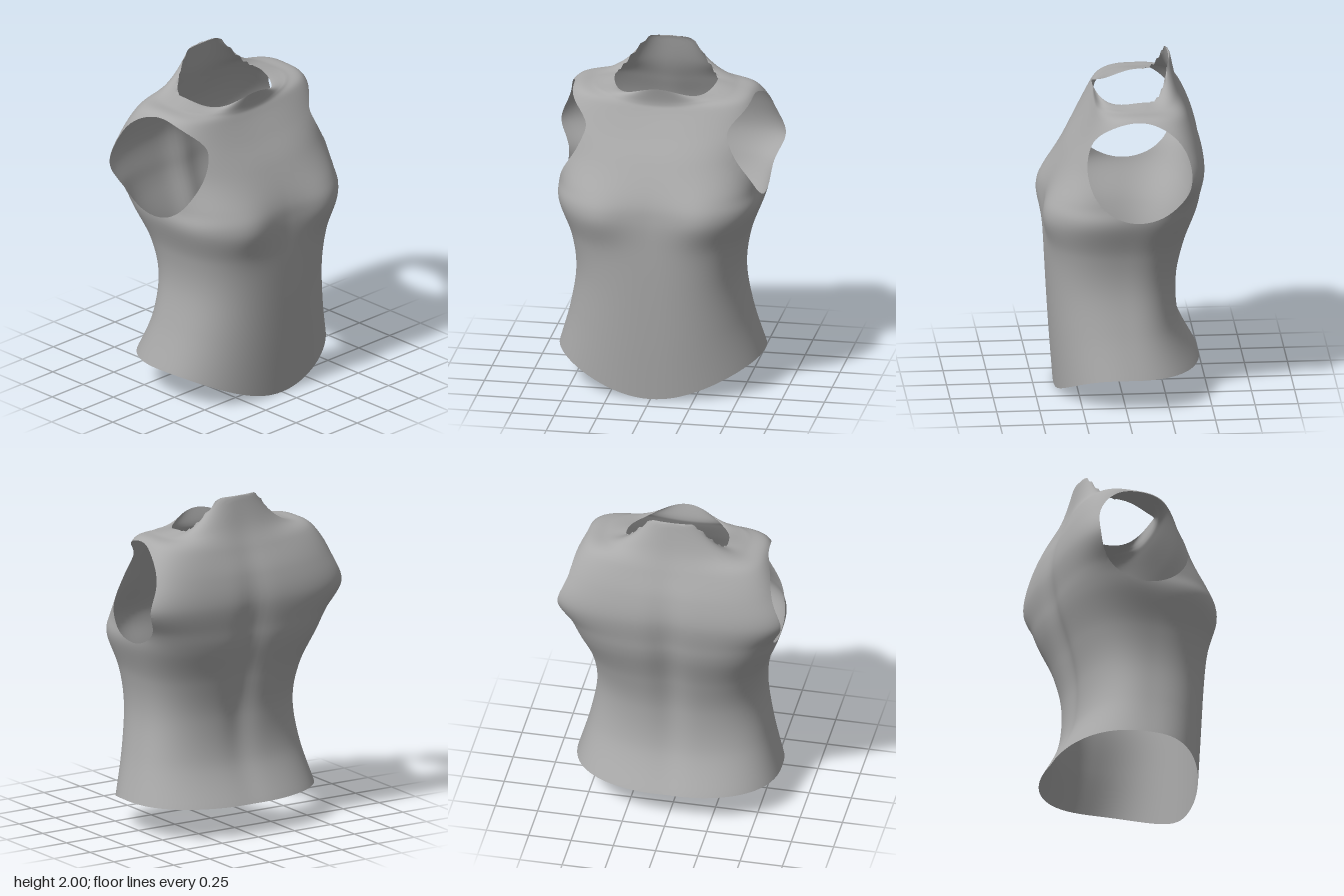
import * as THREE from 'three';
import { mergeVertices } from 'three/addons/utils/BufferGeometryUtils.js';

// Key rings from hem to neck:
// half width, back flare, side y, side z, front y, front z, back y, back z, squareness
const RINGS = [
  [0.60, 0.00, 0.20, -0.04, 0.00, 0.38, 0.19, -0.46, 2.4],
  [0.53, 0.00, 0.45, -0.02, 0.33, 0.405, 0.42, -0.345, 2.5],
  [0.49, 0.00, 0.70, 0.00, 0.67, 0.425, 0.68, -0.325, 2.6],
  [0.515, 0.00, 0.92, 0.00, 0.92, 0.435, 0.92, -0.37, 2.8],
  [0.59, 0.00, 1.13, -0.03, 1.11, 0.435, 1.13, -0.435, 3.2],
  [0.605, 0.05, 1.25, -0.06, 1.24, 0.41, 1.25, -0.457, 3.4],
  [0.65, 0.15, 1.42, -0.08, 1.42, 0.32, 1.41, -0.475, 3.5],
  [0.61, 0.07, 1.60, -0.10, 1.57, 0.225, 1.56, -0.447, 3.7],
  [0.53, 0.01, 1.757, -0.12, 1.69, 0.155, 1.70, -0.39, 3.5],
  [0.41, 0.00, 1.78, -0.13, 1.74, 0.14, 1.84, -0.335, 2.8],
  [0.30, 0.00, 1.80, -0.14, 1.83, 0.157, 2.06, -0.285, 2.1],
];
const COLS = 112, ROWS = 90;
const ARM = { y: 1.457, z: -0.077, r: 0.297 };

// Smooth interpolation of every ring parameter
function ringAt(t) {
  const f = t * (RINGS.length - 1);
  const i = Math.min(Math.floor(f), RINGS.length - 2), u = f - i;
  const at = (n) => RINGS[Math.max(0, Math.min(RINGS.length - 1, n))];
  return RINGS[i].map((b, k) => {
    const a = at(i - 1)[k], c = at(i + 1)[k], d = at(i + 2)[k];
    return b + 0.5 * u * (c - a + u * (2 * a - 5 * b + 4 * c - d + u * (3 * (b - c) + d - a)));
  });
}

const bell = (v, centre, width) => Math.exp(-(((v - centre) / width) ** 2));

function surfacePoint(t, angle) {
  const [w, flare, ys, zs, yf, zf, yb, zb, n] = ringAt(t);
  const c = Math.cos(angle), s = Math.sin(angle);
  const k = (Math.abs(c) ** n + Math.abs(s) ** n) ** (-1 / n);
  const front = s > 0;
  const x = c * k * (w - flare * s);
  let z = zs + Math.abs(s) * k * ((front ? zf : zb) - zs);
  let y = ys + ((front ? yf : yb) - ys) * Math.abs(s) ** 3;
  if (front) {
    // bust, and the dip either side of the front neckline
    z += 0.045 * s * bell(Math.abs(x), 0.32, 0.18) * bell(y, 1.12, 0.15);
    y -= 0.035 * Math.max(0, t * 10 - 9) * Math.sin(2 * angle) ** 2;
  } else {
    // spine groove, and the ragged back neckline with its level top
    z += 0.03 * -s * bell(x, 0, 0.09) * bell(y, 1.0, 0.6);
    if (t === 1) y += 0.01 * Math.sin(angle * 28) * Math.abs(Math.sin(2 * angle));
    y = Math.min(y, 2);
  }
  return new THREE.Vector3(x, y, z);
}

// Positive outside the armholes
const keep = (p) => Math.abs(p.x) < 0.3 ? 1 : Math.hypot(p.y - ARM.y, p.z - ARM.z) - ARM.r;

// Trim one triangle against the armholes
function trim(tri, out) {
  const poly = [];
  tri.forEach((a, i) => {
    const b = tri[(i + 1) % 3], da = keep(a), db = keep(b);
    if (da >= 0) poly.push(a);
    if (da * db < 0) poly.push(a.clone().lerp(b, da / (da - db)));
  });
  for (let i = 1; i + 1 < poly.length; i++) {
    for (const p of [poly[0], poly[i], poly[i + 1]]) out.push(p.x, p.y, p.z);
  }
}

function torsoGeometry() {
  const grid = [];
  for (let j = 0; j <= ROWS; j++) {
    const row = [];
    for (let i = 0; i < COLS; i++) row.push(surfacePoint(j / ROWS, (i / COLS) * Math.PI * 2));
    grid.push(row);
  }
  const out = [];
  for (let j = 0; j < ROWS; j++) {
    for (let i = 0; i < COLS; i++) {
      const n = (i + 1) % COLS;
      const a = grid[j][i], b = grid[j][n], c = grid[j + 1][n], d = grid[j + 1][i];
      trim([a, d, b], out);
      trim([b, d, c], out);
    }
  }
  let geometry = new THREE.BufferGeometry();
  geometry.setAttribute('position', new THREE.Float32BufferAttribute(out, 3));
  geometry = mergeVertices(geometry, 1e-4);
  geometry.computeVertexNormals();
  return geometry;
}

export function createModel() {
  const group = new THREE.Group();
  group.name = 'sleevelessTorso';
  const grey = new THREE.MeshStandardMaterial({ color: 0xaaaaaa, side: THREE.DoubleSide });
  grey.name = 'grey';
  const torso = new THREE.Mesh(torsoGeometry(), grey);
  torso.name = 'torsoShell';
  group.add(torso);
  return group;
}
